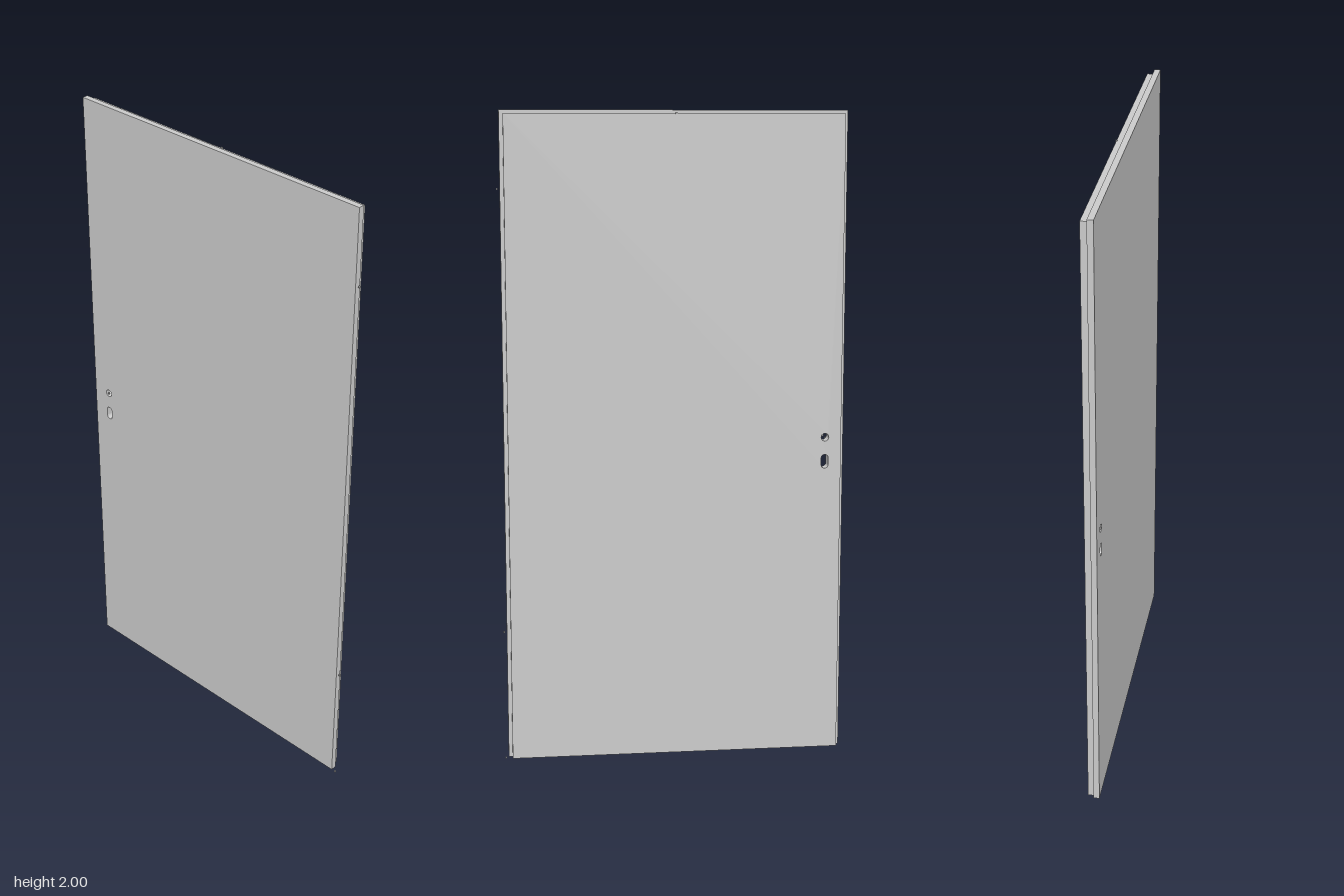
import * as THREE from 'three';

const material = new THREE.MeshStandardMaterial({ color: 0xcccccc });
const LOCK_X = -0.47;

// Rectangular slab with the handle and key holes cut through it
function slab(name, x0, x1, y0, y1, z0, z1) {
  const shape = new THREE.Shape();
  shape.moveTo(x0, y0);
  shape.lineTo(x1, y0);
  shape.lineTo(x1, y1);
  shape.lineTo(x0, y1);
  shape.closePath();

  // round handle hole
  const handle = new THREE.Path();
  handle.absarc(LOCK_X, 1.007, 0.012, 0, Math.PI * 2, true);
  // key slot with rounded ends
  const r = 0.011;
  const key = new THREE.Path();
  key.absarc(LOCK_X, 0.942, r, 0, Math.PI, false);
  key.absarc(LOCK_X, 0.921, r, Math.PI, Math.PI * 2, false);
  key.closePath();
  shape.holes.push(handle, key);

  const geo = new THREE.ExtrudeGeometry(shape, { depth: z1 - z0, bevelEnabled: false, curveSegments: 8 });
  geo.translate(0, 0, z0);
  const mesh = new THREE.Mesh(geo, material);
  mesh.name = name;
  return mesh;
}

export function createModel() {
  const door = new THREE.Group();
  door.name = 'doorLeaf';

  // wider front face overlaps the rebated rear core on the top and both sides
  door.add(slab('frontPanel', -0.53, 0.517, 0.01, 2.0, 0, 0.018));
  door.add(slab('rearPanel', -0.52, 0.505, 0.01, 1.99, -0.02, 0));

  // tiny fitting points: hinges, lock sides and top closer
  const points = {
    upperHingePoint: [0.525, 1.768, 0.011],
    lowerHingePoint: [0.525, 0.41, 0.011],
    bottomHingePoint: [0.525, 0.003, 0.011],
    frontHandlePoint: [LOCK_X, 1.007, 0.018],
    rearHandlePoint: [LOCK_X, 1.007, -0.02],
    closerPoint: [-0.008, 1.99, -0.02],
  };
  const pointGeo = new THREE.BoxGeometry(0.005, 0.005, 0.005);
  for (const [name, position] of Object.entries(points)) {
    const mesh = new THREE.Mesh(pointGeo, material);
    mesh.name = name;
    mesh.position.set(...position);
    door.add(mesh);
  }
  return door;
}
